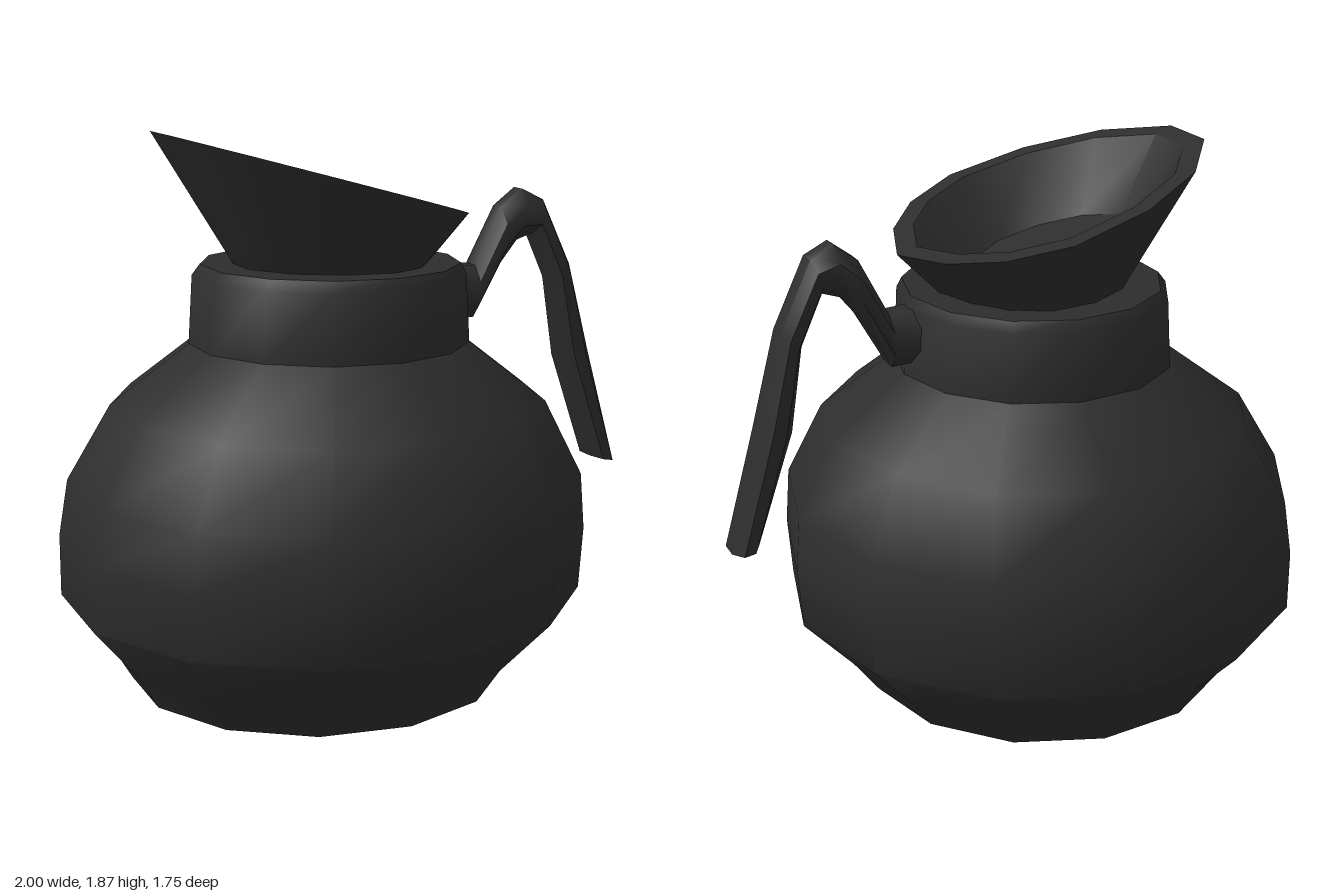
import * as THREE from 'three';
import { toCreasedNormals } from 'three/addons/utils/BufferGeometryUtils.js';

// Skin a list of rings (arrays of [x, y, z]) and close both ends
function loft(rings, crease) {
  const pos = [];
  const tri = (...p) => p.forEach((v) => pos.push(...v));
  const n = rings[0].length;
  for (let i = 0; i < rings.length - 1; i++) {
    for (let j = 0; j < n; j++) {
      const k = (j + 1) % n;
      const a = rings[i][j], b = rings[i][k], c = rings[i + 1][k], d = rings[i + 1][j];
      tri(a, d, b);
      tri(b, d, c);
    }
  }
  const centre = (r) => [0, 1, 2].map((q) => r.reduce((s, p) => s + p[q], 0) / n);
  const first = rings[0], last = rings[rings.length - 1];
  for (let j = 0; j < n; j++) {
    const k = (j + 1) % n;
    tri(centre(first), first[j], first[k]);
    tri(centre(last), last[k], last[j]);
  }
  const g = new THREE.BufferGeometry();
  g.setAttribute('position', new THREE.Float32BufferAttribute(pos, 3));
  return toCreasedNormals(g, crease);
}

const ringOf = (n, fn, offset = 0) =>
  Array.from({ length: n }, (_, j) => fn(((j + offset) / n) * Math.PI * 2));

export function createModel() {
  const group = new THREE.Group();
  const charcoal = new THREE.MeshStandardMaterial({ color: 0x2d2d2d });
  charcoal.name = 'charcoal';
  const add = (name, geometry) => {
    const mesh = new THREE.Mesh(geometry, charcoal);
    mesh.name = name;
    group.add(mesh);
  };

  // Thirteen-sided body and neck: [y, centre x, radius x, radius z]
  const body = [
    [0, -0.152, 0.642, 0.627],
    [0.12, -0.143, 0.723, 0.697],
    [0.31, -0.135, 0.890, 0.874],
    [0.52, -0.127, 0.897, 0.88],
    [0.71, -0.118, 0.873, 0.864],
    [0.96, -0.106, 0.736, 0.731],
    [1.16, -0.102, 0.472, 0.478],
    [1.39, -0.101, 0.458, 0.468],
    [1.425, -0.096, 0.436, 0.445],
  ].map(([y, c, rx, rz]) => ringOf(13, (a) => [c + rx * Math.cos(a), y, rz * Math.sin(a)]));
  add('body', loft(body, 0.8));

  // Flared spout with a slanted rim, wall thickness and a slanted floor
  const half = [[0.31, 0.22], [0.18, 0.385], [-0.01, 0.482], [-0.28, 0.455], [-0.52, 0.325], [-0.678, 0.11]];
  const rim = [[0.385, 0], ...half, ...half.map(([x, z]) => [x, -z]).reverse()];
  const spoutRing = (c, sx, sz, height) => rim.map(([x, z]) => {
    const px = c + (x + 0.145) * sx;
    return [px, height(px), z * sz];
  });
  const rimHeight = (x) => 1.57 + (0.385 - x) * 0.278;
  add('spout', loft([
    spoutRing(-0.09, 0.58, 0.66, () => 1.4),
    spoutRing(-0.145, 1, 1, rimHeight),
    spoutRing(-0.145, 0.87, 0.855, rimHeight),
    spoutRing(-0.17, 0.545, 0.545, (x) => 1.43 + (0.12 - x) * 0.278),
  ], 0.8));

  // Handle sections: [outer x, outer y, inner x, inner y, half width in z]
  const handle = [
    [0.33, 1.39, 0.33, 1.21, 0.085],
    [0.43, 1.385, 0.425, 1.205, 0.08],
    [0.53, 1.58, 0.53, 1.39, 0.077],
    [0.61, 1.64, 0.59, 1.465, 0.078],
    [0.69, 1.6, 0.655, 1.487, 0.08],
    [0.8, 1.37, 0.73, 1.32, 0.078],
    [0.885, 1.05, 0.775, 1.035, 0.08],
    [0.998, 0.645, 0.905, 0.662, 0.087],
  ].map(([ox, oy, ix, iy, w]) => ringOf(8, (a) => {
    const k = 1 / Math.cos(Math.PI / 8);
    const u = 0.5 + 0.5 * k * Math.cos(a);
    return [ix + (ox - ix) * u, iy + (oy - iy) * u, -w * k * Math.sin(a)];
  }, 0.5));
  add('handle', loft(handle, 0.9));

  return group;
}
